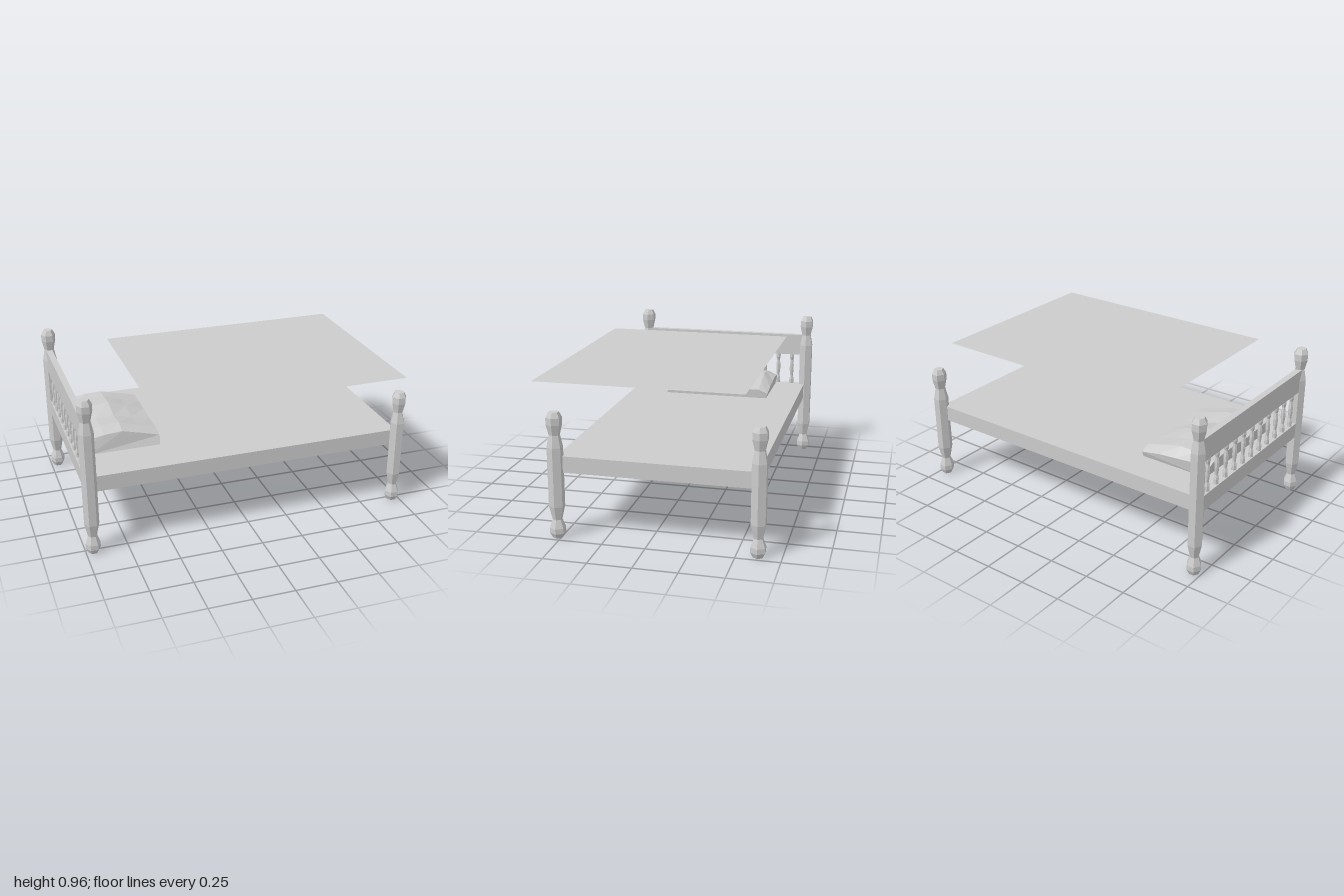
import * as THREE from 'three';

const grey = new THREE.MeshStandardMaterial({ color: 0xcccccc, flatShading: true });
const greyDouble = new THREE.MeshStandardMaterial({ color: 0xcccccc, flatShading: true, side: THREE.DoubleSide });

const Z_FRONT = 0.52, Z_BACK = -0.62, Z_MID = (Z_FRONT + Z_BACK) / 2;

function add(parent, name, geometry, x, y, z, material = grey) {
  const mesh = new THREE.Mesh(geometry, material);
  mesh.name = name;
  mesh.position.set(x, y, z);
  parent.add(mesh);
  return mesh;
}

// Six-sided turned piece with corners pointing along x
function turned(profile) {
  const points = profile.map(([r, y]) => new THREE.Vector2(r, y));
  return new THREE.LatheGeometry(points, 6, Math.PI / 2);
}

// Bed post: foot bulb, straight shaft, neck and top knob
function postGeometry(h) {
  const r = 0.044;
  return turned([
    [0, 0], [r * 0.65, 0], [r, 0.03], [r, 0.06], [r * 0.6, 0.11], [r, 0.19],
    [r, h - 0.2], [r * 0.68, h - 0.13], [r, h - 0.07], [r, h - 0.03], [r * 0.65, h], [0, h],
  ]);
}

// Lumpy pillow: cross-sections in x and y, lofted along z
function pillowGeometry() {
  const xs = [-0.905, -0.8, -0.69, -0.58, -0.467];
  // z at the base, z at the top, then the height of each top point
  const sections = [
    [-0.42, -0.43, 0.545, 0.56, 0.55, 0.54, 0.52],
    [-0.37, -0.37, 0.57, 0.595, 0.6, 0.575, 0.545],
    [-0.27, -0.27, 0.575, 0.6, 0.605, 0.575, 0.545],
    [-0.14, -0.14, 0.575, 0.61, 0.625, 0.585, 0.545],
    [0, 0, 0.565, 0.59, 0.595, 0.57, 0.545],
    [0.14, 0.14, 0.57, 0.605, 0.612, 0.58, 0.548],
    [0.26, 0.235, 0.57, 0.59, 0.598, 0.57, 0.54],
  ];
  const positions = [], index = [];
  for (const [zBase, zTop, ...heights] of sections) {
    positions.push(-0.89, 0.488, zBase);
    xs.forEach((x, i) => positions.push(x, heights[i], zTop));
    positions.push(-0.472, 0.488, zBase);
  }
  const n = xs.length + 2;
  for (let s = 0; s < sections.length - 1; s++) {
    for (let i = 0; i < n; i++) {
      const a = s * n + i, b = s * n + (i + 1) % n;
      index.push(a, a + n, b, b, a + n, b + n);
    }
  }
  // End caps
  const last = (sections.length - 1) * n;
  for (let i = 1; i < n - 1; i++) {
    index.push(0, i, i + 1, last, last + i + 1, last + i);
  }
  const geometry = new THREE.BufferGeometry();
  geometry.setAttribute('position', new THREE.Float32BufferAttribute(positions, 3));
  geometry.setIndex(index);
  geometry.computeVertexNormals();
  return geometry;
}

export function createModel() {
  const bed = new THREE.Group();
  bed.name = 'bed';

  // Four posts, taller at the head
  for (const [name, x, h] of [['headPost', -0.956, 0.96], ['footPost', 0.956, 0.735]]) {
    const geometry = postGeometry(h);
    for (const z of [Z_FRONT, Z_BACK]) {
      add(bed, name, geometry, x, 0, z).scale.z = 1.05;
    }
  }

  // Solid bed base
  const width = Z_FRONT - Z_BACK - 0.01;
  add(bed, 'bedBase', new THREE.BoxGeometry(1.93, 0.095, width), -0.013, 0.433, Z_MID);

  // Headboard rail and its row of spindles
  const headboard = new THREE.Group();
  headboard.name = 'headboard';
  bed.add(headboard);
  add(headboard, 'topRail', new THREE.BoxGeometry(0.038, 0.14, width), -0.959, 0.76, Z_MID);
  const spindle = turned([
    [0.016, 0.475], [0.016, 0.51], [0.01, 0.535], [0.015, 0.575],
    [0.015, 0.61], [0.01, 0.645], [0.016, 0.665], [0.016, 0.7],
  ]);
  for (let i = 0; i < 11; i++) {
    add(headboard, 'spindle', spindle, -0.959, 0, 0.43 - i * 0.0953);
  }

  // Pillow on the base
  add(bed, 'pillow', pillowGeometry(), 0, 0, 0, greyDouble);

  // Flat cover sheet held above the base
  const sheet = new THREE.PlaneGeometry(1.51, 1.19).rotateX(-Math.PI / 2);
  add(bed, 'coverSheet', sheet, 0.16, 0.887, 0.065, greyDouble);

  return bed;
}
